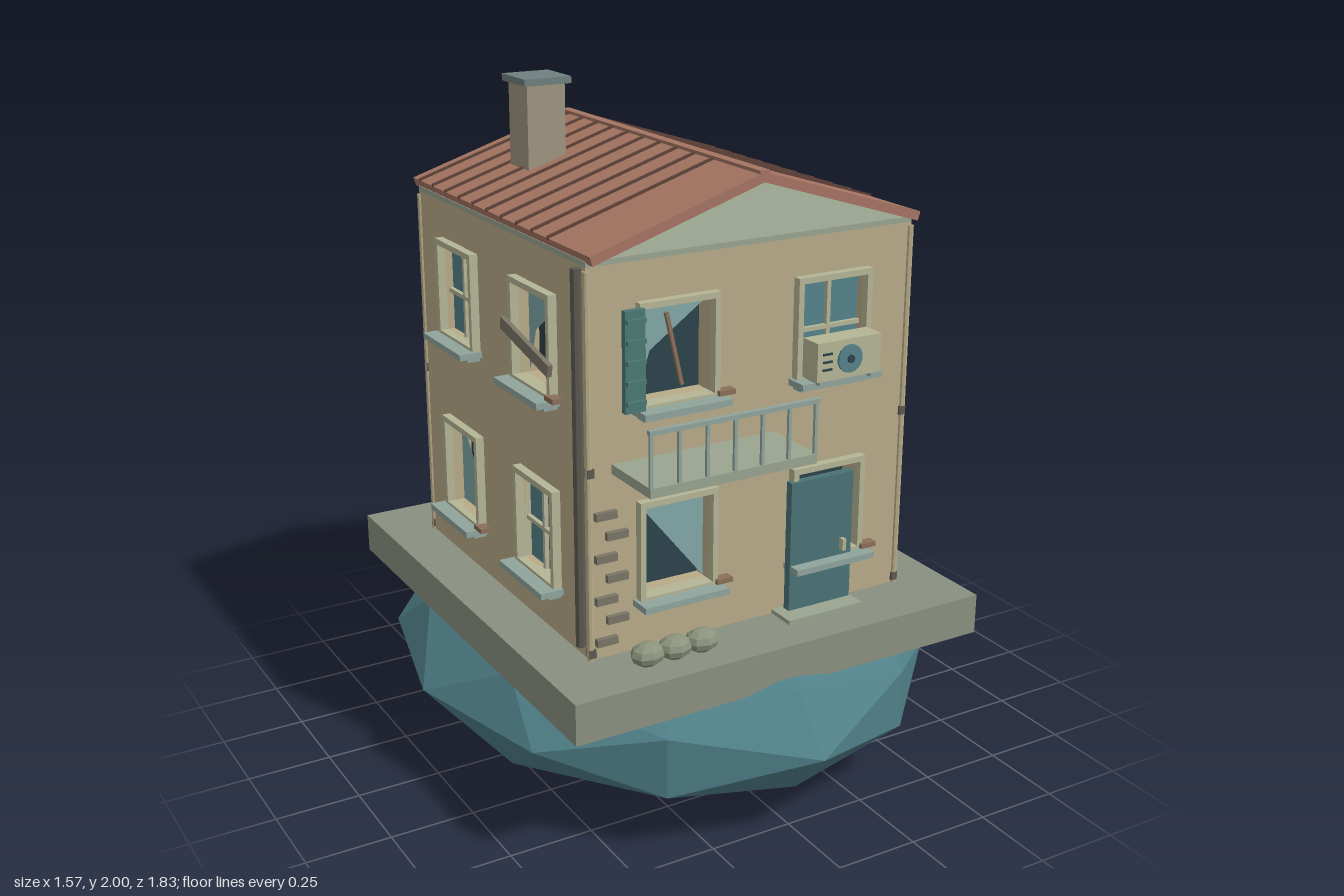
import * as THREE from 'three';

const mat = (color, extra = {}) => {
  const m = new THREE.MeshStandardMaterial({ color, flatShading: true });
  return Object.assign(m, extra);
};
const M = {
  wall: mat(0xb8ab88), slab: mat(0x8a9080), rock: mat(0x4f7f88), roof: mat(0xa57462),
  rib: mat(0x5e4238), trim: mat(0x8fa59c), frame: mat(0xb5b596), dark: mat(0x2c434b),
  glass: mat(0x82a8a8, { side: THREE.DoubleSide }), pane: mat(0x55838a), door: mat(0x4b7275),
  shutter: mat(0x4a7873), wood: mat(0x8a6f58), pipe: mat(0x5c5a50), sack: mat(0x8b937c),
  pale: mat(0x9aa58f), chimney: mat(0x9f9580), cap: mat(0x6f8080), brick: mat(0x7a7566),
};

function add(parent, name, geo, material, x = 0, y = 0, z = 0) {
  const m = new THREE.Mesh(geo, material);
  m.name = name;
  m.position.set(x, y, z);
  parent.add(m);
  return m;
}
const box = (p, name, material, w, h, d, x, y, z) =>
  add(p, name, new THREE.BoxGeometry(w, h, d), material, x, y, z);
const cyl = (p, name, material, r, h, x, y, z, n = 8) =>
  add(p, name, new THREE.CylinderGeometry(r, r, h, n), material, x, y, z);

const OW = 0.21, OH = 0.26, COL = 0.245, ROWS = [0.838, 1.386], T = 0.06;
const WALL_Y0 = 0.55, WALL_Y1 = 1.64;

// Broken glass outlines, in fractions of the opening
const SHARDS = {
  sweep: [[[-0.5, -0.5], [-0.3, 0], [0.5, 0.45], [0.5, 0.5], [-0.5, 0.5]]],
  pair: [[[-0.5, -0.5], [-0.35, -0.5], [-0.1, -0.25], [-0.5, 0.2]],
    [[0.5, 0.5], [-0.15, 0], [0.15, -0.5], [0.5, -0.5]]],
  upper: [[[-0.5, 0.5], [0.5, -0.5], [0.5, 0.5]]],
  lower: [[[-0.5, 0.5], [-0.5, -0.5], [0.5, -0.5]]],
};

// One wall slab with four window openings; local +z faces outwards
function wallPanel(parent, width, dist) {
  const s = new THREE.Shape([[-1, WALL_Y0], [1, WALL_Y0], [1, WALL_Y1], [-1, WALL_Y1]]
    .map(([x, y]) => new THREE.Vector2(x * width / 2, y)));
  for (const cx of [-COL, COL]) for (const cy of ROWS) {
    s.holes.push(new THREE.Path([[-1, -1], [-1, 1], [1, 1], [1, -1]]
      .map(([a, b]) => new THREE.Vector2(cx + a * OW / 2, cy + b * OH / 2))));
  }
  add(parent, 'wall', new THREE.ExtrudeGeometry(s, { depth: T, bevelEnabled: false }), M.wall, 0, 0, dist - T);
}

// Window with frame, sill, dark room behind and whole or broken glass
function makeWindow(parent, x, y, dist, spec) {
  const g = new THREE.Group();
  g.name = 'window';
  g.position.set(x, y, dist);
  parent.add(g);
  const f = 0.017;
  for (const s of [-1, 1]) {
    box(g, 'frameSide', M.frame, f, OH + 2 * f, 0.045, s * (OW + f) / 2, 0, 0.003);
    box(g, 'frameRail', M.frame, OW, f, 0.045, 0, s * (OH + f) / 2, 0.003);
  }
  box(g, 'sill', M.trim, 0.265, 0.018, 0.07, 0, -OH / 2 - 0.017, 0.035);
  box(g, 'sillFoot', M.trim, 0.235, 0.015, 0.04, 0, -OH / 2 - 0.032, 0.02);
  box(g, 'darkRoom', M.dark, OW + 0.02, OH + 0.02, 0.01, 0, 0, -T - 0.005);
  if (spec.glass === 'whole') {
    box(g, 'glass', M.pane, OW, OH, 0.008, 0, 0, -0.025);
    box(g, 'mullion', M.frame, 0.012, OH, 0.02, 0, 0, -0.018);
    box(g, 'transom', M.frame, OW, 0.012, 0.02, 0, -0.01, -0.018);
  } else {
    for (const pts of SHARDS[spec.glass]) {
      const s = new THREE.Shape(pts.map(([a, b]) => new THREE.Vector2(a * OW, b * OH)));
      add(g, 'glassShard', new THREE.ShapeGeometry(s), M.glass, 0, 0, -0.03);
    }
    box(g, 'rubble', M.wood, 0.05, 0.014, 0.03, 0.138, -OH / 2 - 0.001, 0.022);
  }
  if (spec.stick) box(g, 'stick', M.wood, 0.01, 0.21, 0.01, 0, 0, -0.012).rotation.z = 0.23;
  if (spec.plank) box(g, 'plank', M.brick, 0.29, 0.035, 0.014, 0, -0.02, 0.033).rotation.z = -0.22;
  if (spec.shutter) {
    const sh = new THREE.Group();
    sh.name = 'shutter';
    sh.position.set(-0.145, 0, 0.032);
    g.add(sh);
    box(sh, 'shutterBoard', M.shutter, 0.06, 0.275, 0.018, 0, 0, 0);
    for (let i = 0; i < 5; i++) box(sh, 'slat', M.shutter, 0.056, 0.012, 0.03, 0, -0.11 + i * 0.055, 0.004);
  }
}

export function createModel() {
  const root = new THREE.Group();
  root.name = 'house';

  // Faceted rock and the base slab
  const rock = add(root, 'rock', new THREE.IcosahedronGeometry(1, 1), M.rock, 0, 0.288, 0);
  rock.scale.set(0.785, 0.288, 0.915);
  box(root, 'baseSlab', M.slab, 1.32, 0.12, 1.46, 0, 0.49, 0);

  // Four sides: angle, width, distance, then windows left low, left high, right low, right high
  const W = { glass: 'whole' };
  const sides = [
    ['front', 0, 1.02, 0.53, [{ glass: 'upper' }, { glass: 'sweep', stick: 1, shutter: 1 }, { glass: 'lower' }, W]],
    ['right', Math.PI / 2, 0.94, 0.51, [W, { glass: 'pair', shutter: 1 }, { glass: 'upper' }, { glass: 'upper', stick: 1 }]],
    ['back', Math.PI, 1.02, 0.53, [{ glass: 'lower', plank: 1 }, { glass: 'upper' }, { glass: 'sweep', stick: 1 }, { glass: 'pair' }]],
    ['left', -Math.PI / 2, 0.94, 0.51, [{ glass: 'lower' }, W, W, { glass: 'sweep', plank: 1 }]],
  ];
  for (const [name, angle, width, dist, specs] of sides) {
    const g = new THREE.Group();
    g.name = name + 'Side';
    g.rotation.y = angle;
    root.add(g);
    wallPanel(g, width, dist);
    specs.forEach((s, i) => makeWindow(g, i < 2 ? -COL : COL, ROWS[i % 2], dist, s));
  }
  box(root, 'ceiling', M.pale, 1.02, 0.015, 1.06, 0, 1.6475, 0);

  // Corner pipes with clips, plus the thicker drainpipe
  for (const sx of [-1, 1]) for (const sz of [-1, 1]) {
    cyl(root, 'cornerPipe', M.wall, 0.01, 1.08, sx * 0.508, 1.09, sz * 0.528);
    for (const y of [0.57, 1.09]) box(root, 'pipeClip', M.pipe, 0.02, 0.025, 0.02, sx * 0.505, y, sz * 0.528);
  }
  cyl(root, 'drainpipe', M.pipe, 0.015, 1.05, -0.522, 1.11, 0.5);

  // Gable roof: two boards meeting at the ridge, with raised ribs
  const half = 0.51, rise = 0.16, len = Math.hypot(half, rise), slope = Math.atan2(rise, half);
  for (const s of [-1, 1]) {
    const g = new THREE.Group();
    g.name = 'roofSlope';
    g.position.set(s * half / 2, 1.742, 0);
    g.rotation.z = -s * slope;
    root.add(g);
    box(g, 'roofBoard', M.roof, len, 0.026, 1.125, 0, 0, 0);
    for (let i = 0; i < 10; i++) box(g, 'roofRib', M.rib, len, 0.01, 0.009, 0, 0.014, -0.51 + i * 0.0935);
  }
  box(root, 'ridgeCap', M.roof, 0.03, 0.018, 1.125, 0, 1.831, 0);

  // Chimney
  box(root, 'chimney', M.chimney, 0.12, 0.25, 0.12, -0.25, 1.855, -0.25);
  box(root, 'chimneyCap', M.cap, 0.148, 0.02, 0.148, -0.25, 1.99, -0.25);

  // Balcony with a front railing
  box(root, 'balconyFloor', M.pale, 0.51, 0.027, 0.205, -0.185, 1.09, 0.632);
  for (let i = 0; i < 7; i++) box(root, 'balconyPost', M.trim, 0.009, 0.15, 0.009, -0.436 + i * 0.0835, 1.177, 0.729);
  box(root, 'balconyRail', M.trim, 0.515, 0.013, 0.015, -0.185, 1.252, 0.729);

  // Cooling unit below the upper window
  box(root, 'coolingUnit', M.frame, 0.21, 0.11, 0.07, 0.245, 1.312, 0.59);
  cyl(root, 'fan', M.pane, 0.04, 0.012, 0.245, 1.312, 0.626, 14).rotation.x = Math.PI / 2;
  cyl(root, 'fanHub', M.dark, 0.012, 0.016, 0.245, 1.312, 0.628, 8).rotation.x = Math.PI / 2;
  for (let i = 0; i < 3; i++) box(root, 'vent', M.dark, 0.03, 0.006, 0.006, 0.172, 1.29 + i * 0.022, 0.626);
  for (const x of [0.16, 0.33]) box(root, 'unitBracket', M.trim, 0.015, 0.015, 0.09, x, 1.252, 0.575);

  // Door, handle and doorstep
  box(root, 'door', M.door, 0.21, 0.4, 0.025, 0.215, 0.75, 0.552);
  box(root, 'doorHandle', M.frame, 0.012, 0.035, 0.02, 0.285, 0.735, 0.572);
  box(root, 'doorstep', M.pale, 0.25, 0.012, 0.09, 0.2, 0.556, 0.575);

  // Bare bricks at the corner
  for (let i = 0; i < 7; i++) box(root, 'brick', M.brick, 0.064, 0.022, 0.03, i % 2 ? -0.43 : -0.463, 0.6 + i * 0.061, 0.53);

  // Sandbags
  for (let i = 0; i < 3; i++) {
    add(root, 'sandbag', new THREE.SphereGeometry(1, 8, 6), M.sack, -0.39 + i * 0.085, 0.584, 0.63).scale.set(0.05, 0.034, 0.042);
  }
  return root;
}
